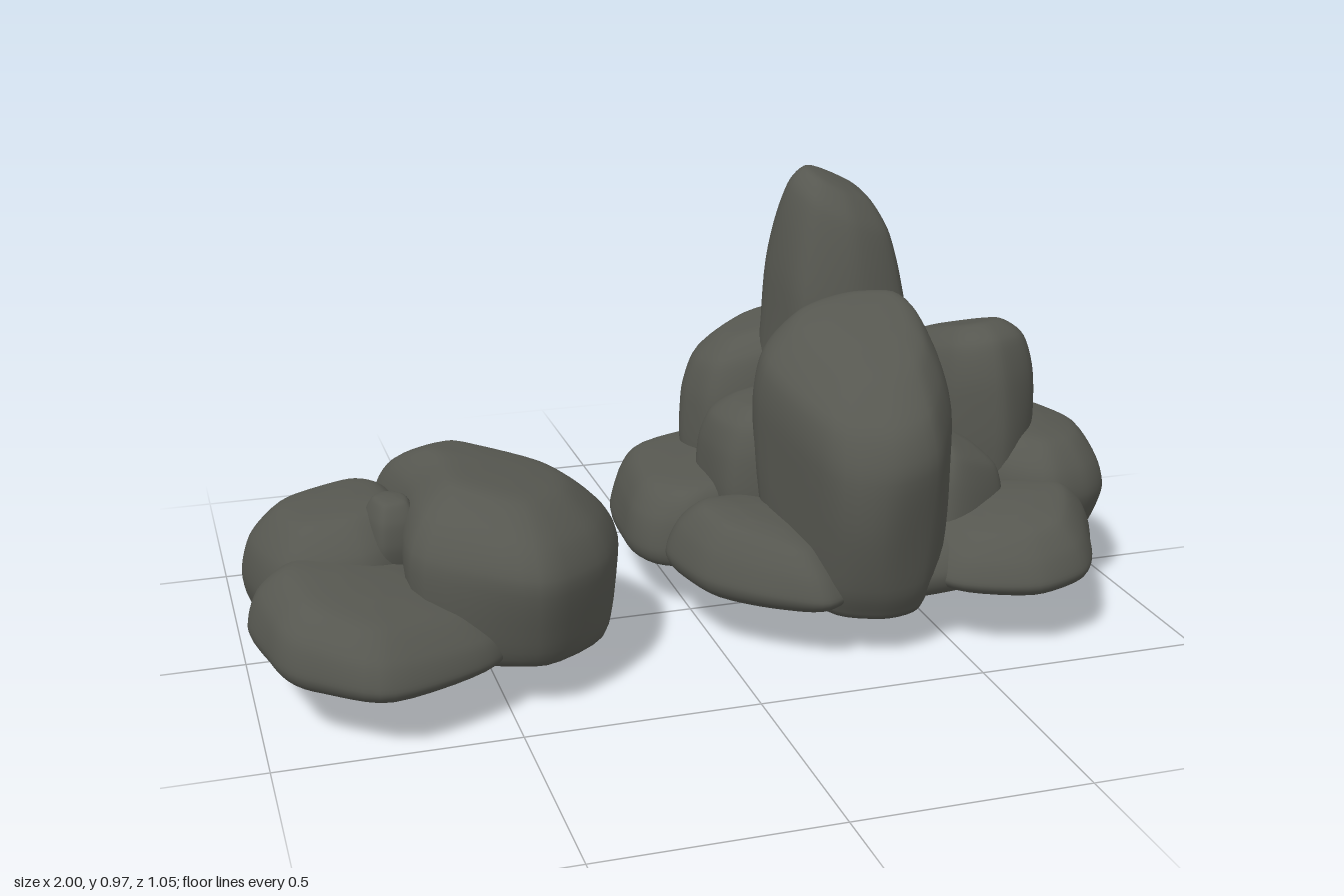
import * as THREE from 'three';

const SIDES = 44, RINGS = 32;
const stone = new THREE.MeshStandardMaterial({ color: 0x565750 });
stone.name = 'darkStone';

// Rounded profile of a squat boulder: [height, scale]
function bun(y0, y1, foot = 0.6, crown = 0.6) {
  const h = y1 - y0;
  return [[y0, 0.2], [y0 + 0.06 * h, foot], [y0 + 0.22 * h, 0.88], [y0 + 0.48 * h, 1], [y0 + 0.76 * h, 0.9], [y1 - 0.04 * h, crown], [y1, 0.2]];
}

// Thin-edged profile of a slab that is widest near its foot
function wedge(y0, y1, foot = 0.7, shoulder = 0.88) {
  const h = y1 - y0;
  return [[y0, 0.25], [y0 + 0.08 * h, foot], [y0 + 0.2 * h, 0.93], [y0 + 0.36 * h, 1], [y0 + 0.66 * h, shoulder], [y0 + 0.92 * h, shoulder - 0.24], [y1, 0.25]];
}

// Steep-sided profile of a standing stone
function dome(y0, y1) {
  const h = y1 - y0;
  return [[y0, 0.7], [y0 + 0.15 * h, 0.93], [y0 + 0.45 * h, 1], [y0 + 0.72 * h, 0.95], [y0 + 0.9 * h, 0.8], [y1 - 0.01 * h, 0.5], [y1, 0.2]];
}

// Lofts a plan outline [x, z] through levels [height, scale, dx, dz]; the crown leans by tilt
function rock(name, outline, levels, tilt = [0, 0], lump = 0.018) {
  const plan = new THREE.CatmullRomCurve3(outline.map(([x, z]) => new THREE.Vector3(x, 0, z)), true, 'catmullrom', 0.4);
  const pts = Array.from({ length: SIDES }, (_, j) => plan.getPoint(j / SIDES));
  let area = 0;
  pts.forEach((p, j) => { const q = pts[(j + 1) % SIDES]; area += p.x * q.z - q.x * p.z; });
  if (area < 0) pts.reverse();
  const box = new THREE.Box3().setFromPoints(pts), c = box.getCenter(new THREE.Vector3());
  const size = new THREE.CatmullRomCurve3(levels.map(([y, s]) => new THREE.Vector3(s, y, 0)), false, 'catmullrom', 0.4);
  const lean = new THREE.CatmullRomCurve3(levels.map(([, , dx = 0, dz = 0]) => new THREE.Vector3(dx, 0, dz)), false, 'catmullrom', 0.4);
  const y0 = levels[0][0], y1 = levels[levels.length - 1][0], seed = c.x * 17 + c.z * 11;
  const pos = [], idx = [];
  const put = (x, y, z) => {
    const f = Math.max(0, (y - y0) / (y1 - y0));
    pos.push(x, y + f * (tilt[0] * (x - c.x) + tilt[1] * (z - c.z)), z);
  };
  for (let i = 0; i <= RINGS; i++) {
    const s = size.getPoint(i / RINGS), d = lean.getPoint(i / RINGS);
    pts.forEach((p, j) => {
      const a = j / SIDES * Math.PI * 2;
      const k = s.x * (1 + lump * Math.sin(3 * a + seed + 9 * s.y) + lump * 0.7 * Math.sin(5 * a - seed - 12 * s.y));
      put(c.x + (p.x - c.x) * k + d.x, s.y, c.z + (p.z - c.z) * k + d.z);
    });
  }
  const low = pos.length / 3, high = low + 1, last = RINGS * SIDES;
  const [, , lx = 0, lz = 0] = levels[levels.length - 1];
  put(c.x, y0, c.z);
  put(c.x + lx, y1, c.z + lz);
  for (let j = 0; j < SIDES; j++) {
    const n = (j + 1) % SIDES;
    for (let i = 0; i < RINGS; i++) {
      const a = i * SIDES + j, b = i * SIDES + n;
      idx.push(a, a + SIDES, b, b, a + SIDES, b + SIDES);
    }
    idx.push(low, j, n, high, last + n, last + j);
  }
  const g = new THREE.BufferGeometry();
  g.setAttribute('position', new THREE.Float32BufferAttribute(pos, 3));
  g.setIndex(idx);
  g.computeVertexNormals();
  const mesh = new THREE.Mesh(g, stone);
  mesh.name = name;
  return mesh;
}

export function createModel() {
  const model = new THREE.Group();
  model.name = 'rockFormation';

  // Large cluster around the spire
  const large = new THREE.Group();
  large.name = 'largeCluster';
  large.add(
    rock('spire',
      [[0.22, -0.2], [0.28, -0.31], [0.42, -0.34], [0.56, -0.29], [0.6, -0.15], [0.56, -0.01], [0.4, 0.03], [0.26, -0.03]],
      [[0.12, 0.8], [0.3, 1], [0.52, 0.95], [0.68, 0.84, -0.01], [0.8, 0.71, -0.01], [0.88, 0.57, -0.01], [0.925, 0.38, -0.01, -0.01], [0.935, 0.15, -0.01, -0.01]],
      [-0.45, -0.2]),
    rock('frontDome',
      [[0.12, 0.1], [0.18, -0.02], [0.35, -0.06], [0.5, 0], [0.54, 0.13], [0.5, 0.3], [0.42, 0.42], [0.3, 0.45], [0.19, 0.38]],
      [[0.1, 0.75], [0.18, 0.88], [0.35, 0.97], [0.5, 0.99], [0.59, 0.89, 0, -0.01], [0.65, 0.66, 0.02, -0.04], [0.67, 0.42, 0.04, -0.06], [0.675, 0.2, 0.04, -0.06]],
      [0.12, -0.31]),
    rock('rightDome',
      [[0.51, -0.1], [0.54, -0.24], [0.66, -0.27], [0.8, -0.19], [0.85, -0.05], [0.79, 0.08], [0.69, 0.15], [0.58, 0.1]],
      dome(0.15, 0.61), [0.08, 0.27]),
    rock('backLeftDome',
      [[0.06, -0.28], [0.1, -0.38], [0.22, -0.45], [0.36, -0.43], [0.45, -0.32], [0.42, -0.16], [0.25, -0.14], [0.1, -0.18]],
      dome(0.14, 0.59), [0.3, 0]),
    rock('leftShoulder',
      [[0.05, -0.12], [0.12, -0.2], [0.3, -0.2], [0.34, 0.02], [0.22, 0.1], [0.08, 0.04]],
      dome(0.14, 0.48), [0.15, 0]),
    rock('farRightBoulder',
      [[0.68, -0.1], [0.8, -0.22], [0.88, -0.26], [0.96, -0.18], [1, -0.03], [0.96, 0.12], [0.88, 0.21], [0.78, 0.23], [0.66, 0.12]],
      [[0.06, 0.15], [0.08, 0.45], [0.14, 0.8], [0.25, 1], [0.32, 0.92], [0.375, 0.66], [0.39, 0.2]], [-0.12, -0.02]),
    rock('frontRightSlab',
      [[0.42, 0.25], [0.48, 0.4], [0.64, 0.47], [0.76, 0.43], [0.84, 0.32], [0.88, 0.18], [0.7, 0.1], [0.5, 0.12]],
      wedge(0.115, 0.295), [0.1, -0.14]),
    rock('frontLeftSlab',
      [[-0.08, 0.08], [-0.02, 0], [0.12, -0.03], [0.28, 0.06], [0.32, 0.28], [0.2, 0.39], [0.1, 0.35], [-0.04, 0.22]],
      wedge(0.1, 0.285), [-0.13, -0.12]),
    rock('backLeftSlab',
      [[-0.12, -0.12], [-0.09, -0.36], [0.12, -0.43], [0.4, -0.52], [0.48, -0.46], [0.5, -0.2], [0.25, -0.02], [0, 0.05], [-0.08, 0.01]],
      [[0.1, 0.8], [0.12, 0.96], [0.16, 1], [0.24, 0.95], [0.3, 0.8], [0.32, 0.3]], [0.06, 0]),
    rock('backRightBoulder',
      [[0.4, -0.3], [0.48, -0.46], [0.58, -0.5], [0.72, -0.43], [0.81, -0.32], [0.84, -0.17], [0.74, -0.06], [0.52, -0.08]],
      [[0, 0.1], [0.02, 0.36], [0.07, 0.72], [0.14, 0.97], [0.25, 0.98], [0.33, 0.87], [0.395, 0.63], [0.41, 0.2]], [0, 0.04]),
    rock('infillStone',
      [[0.46, 0.1], [0.58, 0.02], [0.69, 0.1], [0.66, 0.23], [0.5, 0.29]],
      [[0.12, 0.9], [0.22, 1], [0.32, 0.92], [0.38, 0.76], [0.41, 0.5, -0.02], [0.42, 0.15, -0.03]], [-0.45, 0]),
    rock('baseStone',
      [[0.02, -0.3], [0.4, -0.38], [0.75, -0.2], [0.78, 0.15], [0.55, 0.36], [0.2, 0.34], [0, 0.1]],
      [[0.085, 0.3], [0.095, 0.7], [0.13, 0.96], [0.18, 1], [0.24, 0.85], [0.26, 0.4]]),
  );

  // Small low cluster
  const small = new THREE.Group();
  small.name = 'smallCluster';
  small.add(
    rock('mainBoulder',
      [[-0.63, -0.18], [-0.57, -0.23], [-0.49, -0.18], [-0.28, -0.04], [-0.21, 0.12], [-0.27, 0.33], [-0.42, 0.45], [-0.55, 0.41], [-0.68, 0.3], [-0.67, 0.06], [-0.69, -0.1]],
      [[0.065, 0.25], [0.075, 0.62], [0.11, 0.9], [0.2, 0.98], [0.3, 1], [0.37, 0.86], [0.425, 0.56], [0.435, 0.2]], [-0.18, 0]),
    rock('backBoulder',
      [[-0.99, -0.03], [-0.94, -0.13], [-0.72, -0.18], [-0.62, -0.08], [-0.62, 0.12], [-0.75, 0.22], [-0.93, 0.19]],
      bun(0.05, 0.37, 0.4), [0.12, 0]),
    rock('frontSlab',
      [[-1, 0.16], [-0.97, 0.33], [-0.92, 0.44], [-0.77, 0.52], [-0.55, 0.43], [-0.48, 0.3], [-0.6, 0.1], [-0.85, 0.04]],
      wedge(0.085, 0.275, 0.7, 0.92), [-0.18, -0.12]),
    rock('pebble',
      [[-0.75, 0.1], [-0.7, 0.05], [-0.64, 0.09], [-0.64, 0.18], [-0.72, 0.19]],
      bun(0.22, 0.4)),
  );

  model.add(large, small);
  return model;
}
